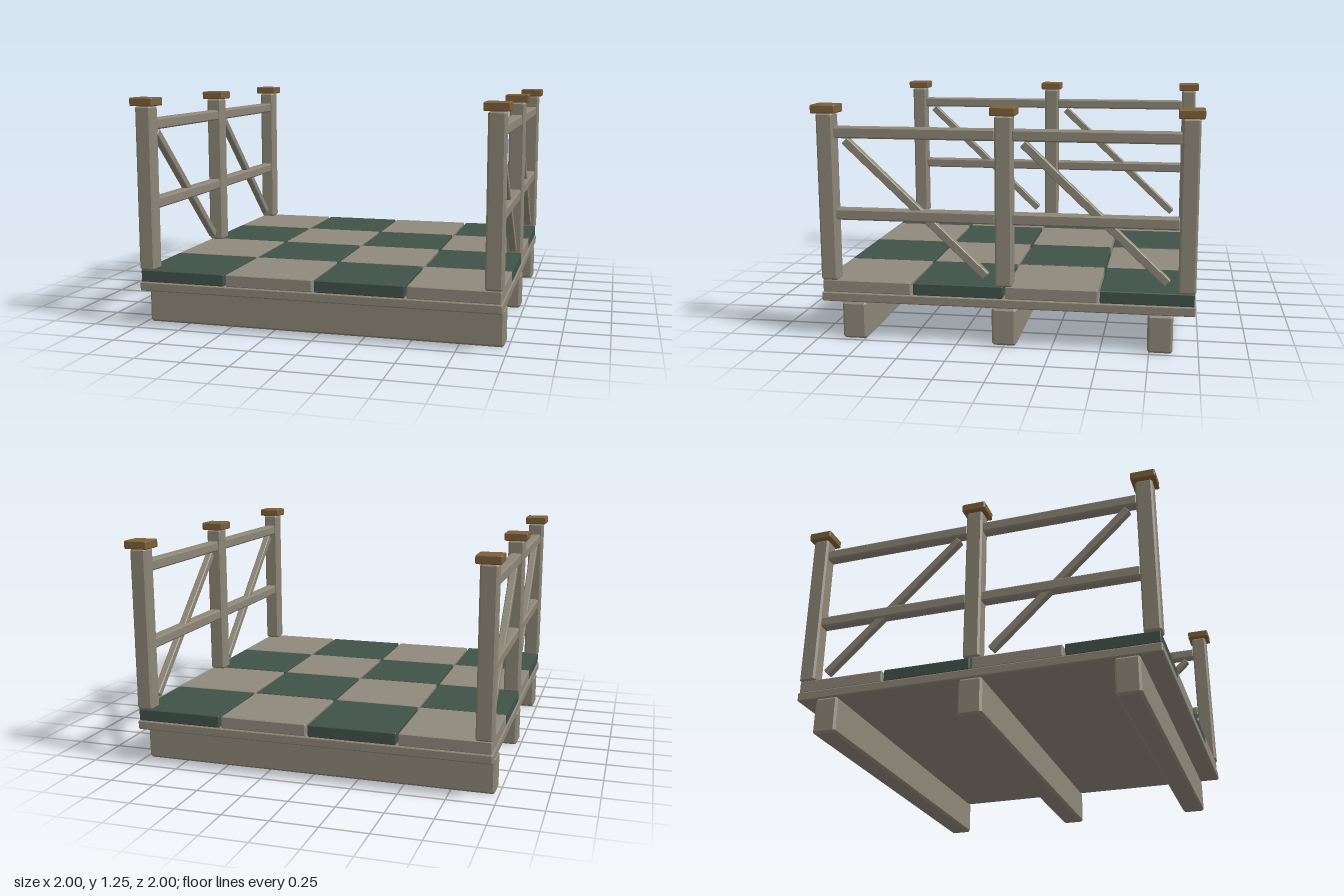
import * as THREE from 'three';
import { ConvexGeometry } from 'three/addons/geometries/ConvexGeometry.js';

const wood = new THREE.MeshStandardMaterial({ name: 'weathered wood', color: 0x8e8778 });
const paleTile = new THREE.MeshStandardMaterial({ name: 'pale tile', color: 0x90887c });
const greenTile = new THREE.MeshStandardMaterial({ name: 'green tile', color: 0x405248 });
const capBrown = new THREE.MeshStandardMaterial({ name: 'cap brown', color: 0x7e6038 });

// Box with every edge chamfered by c
function chamferBox(w, h, d, c) {
  const pts = [];
  for (const x of [-1, 1]) for (const y of [-1, 1]) for (const z of [-1, 1]) {
    const p = [x * w / 2, y * h / 2, z * d / 2];
    const s = [x, y, z];
    for (let keep = 0; keep < 3; keep++) {
      pts.push(new THREE.Vector3(...p.map((v, i) => (i === keep ? v : v - s[i] * c))));
    }
  }
  return new ConvexGeometry(pts);
}

function add(parent, name, geometry, material, x, y, z) {
  const mesh = new THREE.Mesh(geometry, material);
  mesh.name = name;
  mesh.position.set(x, y, z);
  parent.add(mesh);
  return mesh;
}

export function createModel() {
  const model = new THREE.Group();
  model.name = 'tiledDeck';

  // Joists and deck slab
  const joist = chamferBox(1.96, 0.2, 0.13, 0.012);
  for (const z of [-0.805, 0, 0.805]) add(model, 'joist', joist, wood, 0, 0.1, z);
  add(model, 'deckSlab', chamferBox(1.96, 0.05, 1.96, 0.006), wood, 0, 0.225, 0);

  // Checkerboard tiles
  const tiles = new THREE.Group();
  tiles.name = 'floorTiles';
  model.add(tiles);
  const tile = chamferBox(0.477, 0.065, 0.477, 0.004);
  for (let i = 0; i < 4; i++) for (let j = 0; j < 4; j++) {
    add(tiles, 'tile', tile, (i + j) % 2 ? greenTile : paleTile,
      (i - 1.5) * 0.49, 0.2825, (j - 1.5) * 0.49);
  }

  // Railings on both sides
  const post = chamferBox(0.09, 0.885, 0.09, 0.01);
  const cap = chamferBox(0.13, 0.045, 0.13, 0.005);
  const rail = chamferBox(0.065, 0.06, 0.85, 0.008);
  const brace = chamferBox(0.04, 0.043, 1.017, 0.004);
  for (const side of [-1, 1]) {
    const railing = new THREE.Group();
    railing.name = side > 0 ? 'leftRailing' : 'rightRailing';
    railing.position.x = side * 0.935;
    model.add(railing);
    for (const z of [-0.935, 0, 0.935]) {
      add(railing, 'post', post, wood, 0, 0.7575, z);
      add(railing, 'postCap', cap, capBrown, 0, 1.2225, z);
    }
    for (const z of [-0.4675, 0.4675]) {
      add(railing, 'topRail', rail, wood, 0, 1.1, z);
      add(railing, 'middleRail', rail, wood, 0, 0.67, z);
      // Braces rise toward the front
      add(railing, 'brace', brace, wood, 0, 0.709, z).rotation.x = -Math.atan2(0.697, 0.74);
    }
  }
  return model;
}
